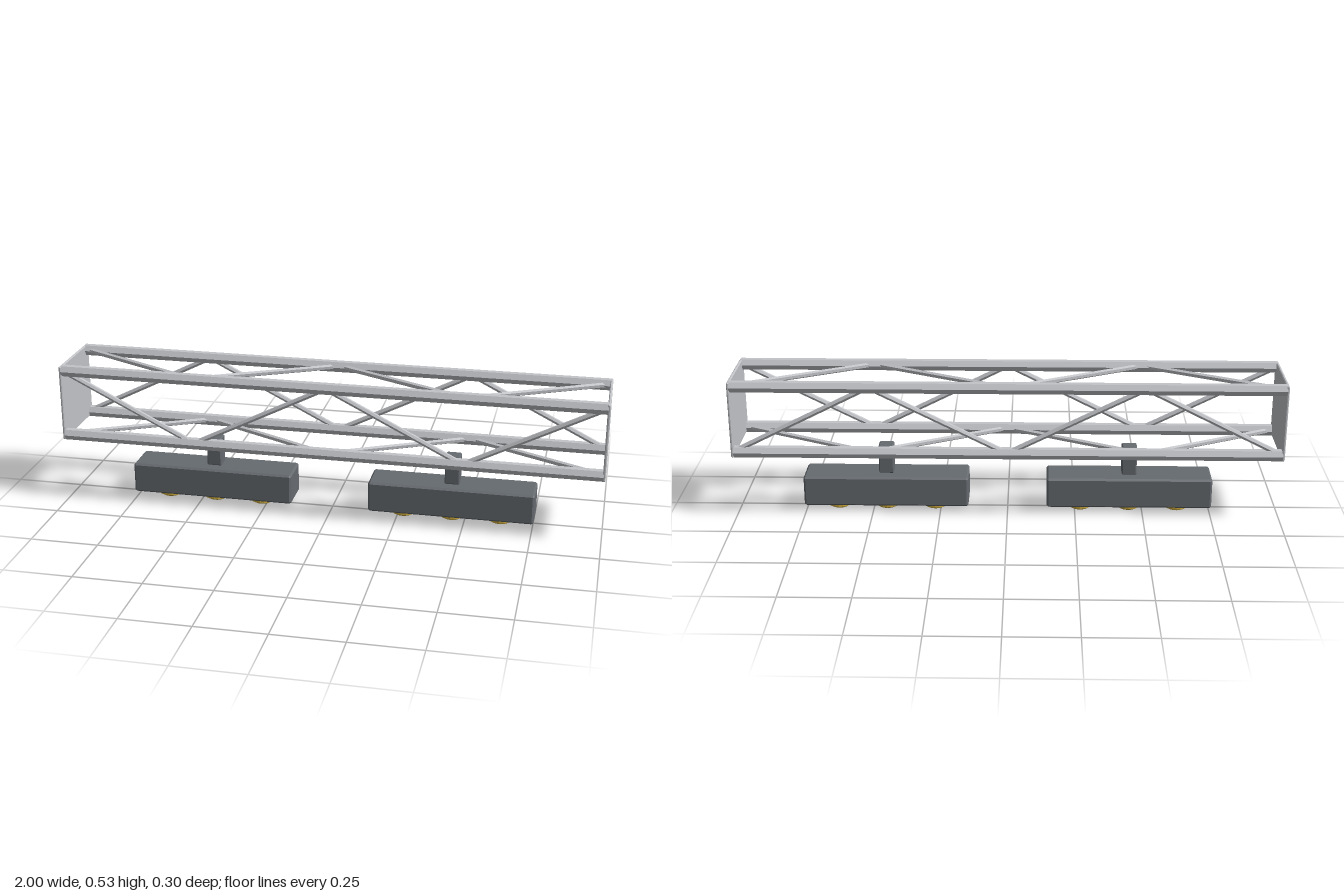
import * as THREE from 'three';
import { ConvexGeometry } from 'three/addons/geometries/ConvexGeometry.js';

const silver = new THREE.MeshStandardMaterial({ color: 0xc2c4c8 });
silver.name = 'silver metal';
const dark = new THREE.MeshStandardMaterial({ color: 0x666b70 });
dark.name = 'dark grey housing';
const amber = new THREE.MeshStandardMaterial({ color: 0xccaa3c });
amber.name = 'amber lens';

// Box with a flat chamfer c on every edge
function chamferBox(w, h, d, c) {
  const half = [w / 2, h / 2, d / 2];
  const points = [];
  for (const sx of [-1, 1]) for (const sy of [-1, 1]) for (const sz of [-1, 1]) {
    for (let axis = 0; axis < 3; axis++) {
      const p = half.map((v, i) => (i === axis ? v : v - c));
      points.push(new THREE.Vector3(p[0] * sx, p[1] * sy, p[2] * sz));
    }
  }
  return new ConvexGeometry(points);
}

function add(parent, name, geometry, material, x = 0, y = 0, z = 0) {
  const mesh = new THREE.Mesh(geometry, material);
  mesh.name = name;
  mesh.position.set(x, y, z);
  parent.add(mesh);
  return mesh;
}

// Straight faceted bar between two points
function bar(parent, name, a, b, radius) {
  const dir = b.clone().sub(a);
  const geo = new THREE.CylinderGeometry(radius, radius, dir.length(), 6).toNonIndexed();
  geo.computeVertexNormals();
  const mesh = add(parent, name, geo, silver);
  mesh.position.copy(a).add(b).multiplyScalar(0.5);
  mesh.quaternion.setFromUnitVectors(new THREE.Vector3(0, 1, 0), dir.normalize());
}

export function createModel() {
  const model = new THREE.Group();
  model.name = 'trussLightRig';
  const low = 0.264, high = 0.514, side = 0.126;

  // Truss: four chords and two end plates
  const truss = new THREE.Group();
  truss.name = 'truss';
  model.add(truss);
  for (const y of [low, high]) for (const z of [-side, side]) {
    bar(truss, 'chord', new THREE.Vector3(-0.993, y, z), new THREE.Vector3(0.993, y, z), 0.022);
  }
  const plate = chamferBox(0.01, 0.286, 0.286, 0.003);
  for (const s of [-1, 1]) add(truss, 'endPlate', plate, silver, s * 0.995, 0.389, 0);

  // Zigzag braces, opposite faces running in opposite phase
  const faces = {
    frontBrace: [[high, side], [low, side]],
    backBrace: [[low, -side], [high, -side]],
    topBrace: [[high, -side], [high, side]],
    bottomBrace: [[low, side], [low, -side]],
  };
  for (const [name, ends] of Object.entries(faces)) {
    for (let i = 0; i < 4; i++) {
      const [a, b] = [i, i + 1].map((k) =>
        new THREE.Vector3((k * 0.5 - 1) * 0.992, ...ends[k % 2]));
      bar(truss, name, a, b, 0.01);
    }
  }

  // Hanging lamps: stem, housing and three lenses facing down
  const housing = chamferBox(0.61, 0.115, 0.138, 0.007);
  const stem = chamferBox(0.055, 0.108, 0.055, 0.004);
  const lensProfile = [[0, 0], [0.034, 0], [0.034, 0], [0.048, 0.009], [0.048, 0.009], [0.048, 0.03]]
    .map(([r, y]) => new THREE.Vector2(r, y));
  const lens = new THREE.LatheGeometry(lensProfile, 20).toNonIndexed();
  lens.computeVertexNormals();
  for (const s of [-1, 1]) {
    const lamp = new THREE.Group();
    lamp.name = s < 0 ? 'rightLamp' : 'leftLamp';
    lamp.position.x = s * 0.45;
    model.add(lamp);
    add(lamp, 'stem', stem, dark, 0, 0.194, 0);
    add(lamp, 'housing', housing, dark, 0, 0.0815, 0);
    for (const x of [-0.18, 0, 0.18]) add(lamp, 'lens', lens, amber, x, 0.001, 0);
  }
  return model;
}
